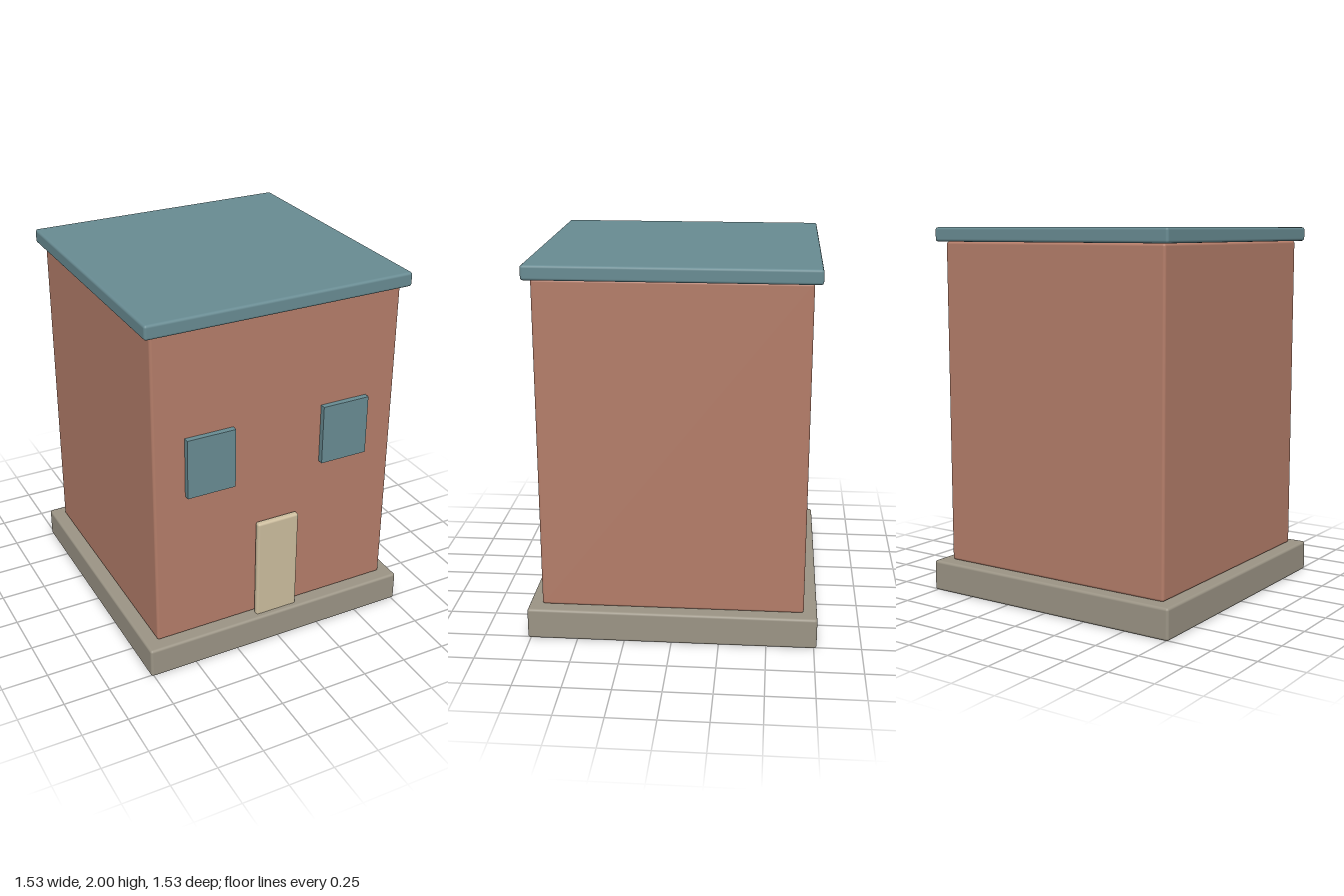
import * as THREE from 'three';
import { RoundedBoxGeometry } from 'three/addons/geometries/RoundedBoxGeometry.js';

export function createModel() {
  const house = new THREE.Group();
  house.name = 'house';

  const material = (name, color) => {
    const m = new THREE.MeshStandardMaterial({ color });
    m.name = name;
    return m;
  };
  const brick = material('terracotta wall', 0xb47d69);
  const teal = material('slate teal', 0x688b92);
  const stone = material('grey stone', 0x9b9485);
  const cream = material('cream door', 0xcbbc9d);

  // Adds a box by its extents; a radius softens the edges
  const addBox = (name, mat, [x0, x1], [y0, y1], [z0, z1], radius = 0) => {
    const size = [x1 - x0, y1 - y0, z1 - z0];
    const geometry = radius
      ? new RoundedBoxGeometry(...size, 3, radius)
      : new THREE.BoxGeometry(...size);
    const mesh = new THREE.Mesh(geometry, mat);
    mesh.name = name;
    mesh.position.set((x0 + x1) / 2, (y0 + y1) / 2, (z0 + z1) / 2);
    house.add(mesh);
  };
  const span = (half) => [-half, half];

  // Stacked square masses
  addBox('base', stone, span(0.765), [0, 0.167], span(0.765), 0.014);
  addBox('walls', brick, span(0.694), [0.167, 1.924], span(0.694), 0.014);
  addBox('roofSlab', teal, span(0.735), [1.924, 2], span(0.735), 0.014);

  // Door, its foot set into the base
  addBox('door', cream, span(0.122), [0.145, 0.748], [0.697, 0.734], 0.014);

  // Mirrored pair of windows
  addBox('leftWindow', teal, [0.254, 0.522], [1.016, 1.346], [0.68, 0.725]);
  addBox('rightWindow', teal, [-0.522, -0.254], [1.016, 1.346], [0.68, 0.725]);

  return house;
}
